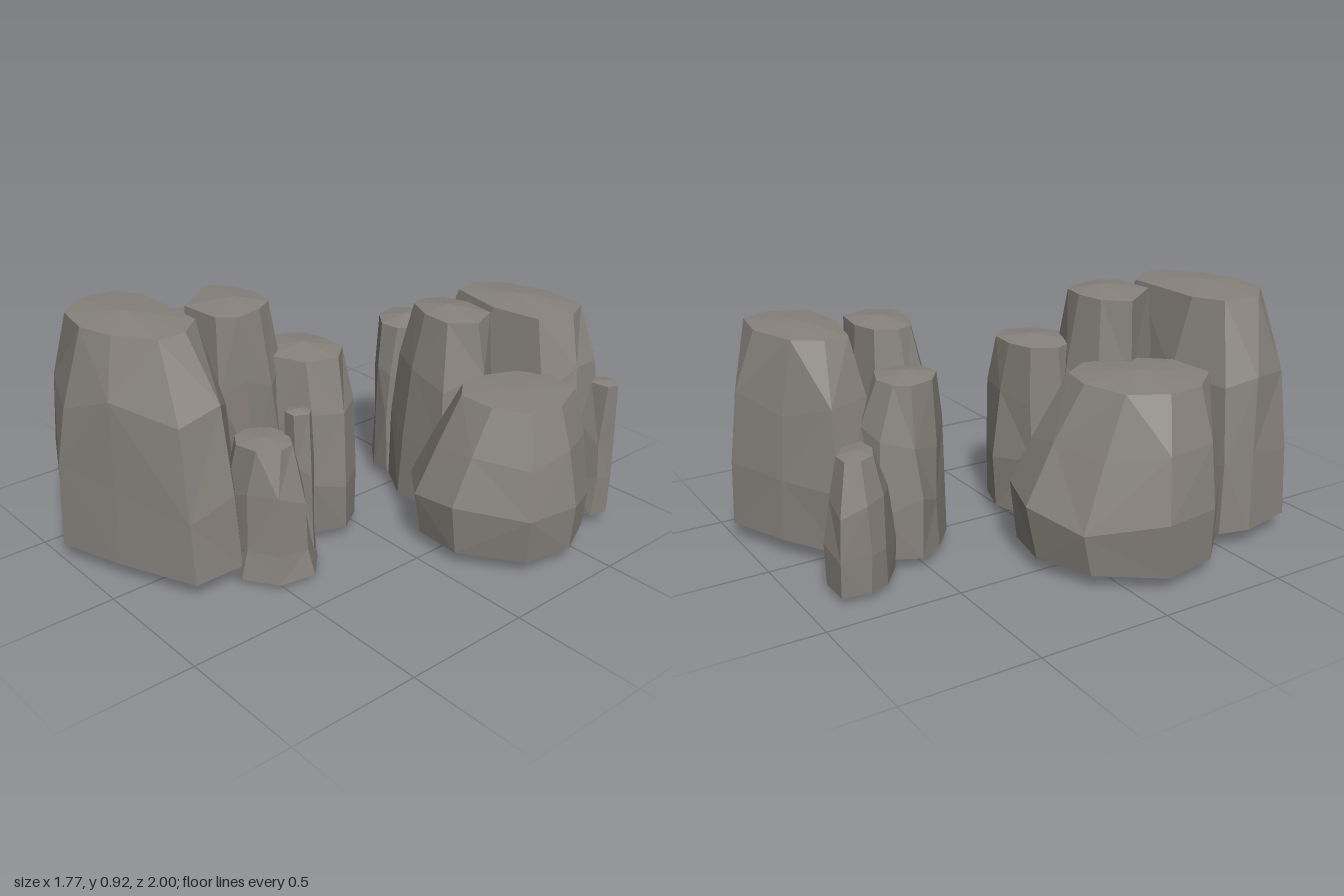
import * as THREE from 'three';

const stone = new THREE.MeshStandardMaterial({ color: 0x86817b, flatShading: true });
stone.name = 'warm grey stone';

// Side profiles: [height fraction, blend from the widest outline (0) to the top outline (1)]
const TAPER = [[0, 0], [0.33, 0.08], [0.68, 0.42], [1, 1]];
const SHOULDER = [[0, 0], [0.33, 0.1], [0.68, 0.34], [1, 1]];
const BULGE = [[0, 0.14], [0.3, 0], [0.66, 0.42], [1, 1]];
const FLARE = [[0, 0], [0.25, 0.32], [0.62, 0.45], [1, 1]];

let seed = 7;
const jitter = (a) => {
  seed = (seed * 16807) % 2147483647;
  return (seed / 2147483647 - 0.5) * 2 * a;
};

// Lofts a boulder between two flat outlines [x, z, x, z, ...], with shallow cones as caps
function boulder(name, y0, y1, profile, wide, top, drop = 0.025, peak = 0.022) {
  const n = wide.length / 2, pos = [], index = [];
  profile.forEach(([t, w], r) => {
    const inner = r > 0 && r < profile.length - 1;
    const rough = inner ? 0.01 : 0;
    for (let i = 0; i < n; i++) {
      const x = THREE.MathUtils.lerp(wide[2 * i], top[2 * i], w);
      const z = THREE.MathUtils.lerp(wide[2 * i + 1], top[2 * i + 1], w);
      const y = y0 + (y1 - y0) * t + jitter(inner ? 0.07 * (y1 - y0) : 0);
      pos.push(x + jitter(rough), y, z + jitter(rough));
    }
  });
  // Cap centres
  const centre = (ring, y) => {
    let x = 0, z = 0;
    for (let i = 0; i < n; i++) {
      x += pos[3 * (ring * n + i)] / n;
      z += pos[3 * (ring * n + i) + 2] / n;
    }
    pos.push(x, y, z);
    return pos.length / 3 - 1;
  };
  const last = profile.length - 1;
  const low = centre(0, y0 - drop), high = centre(last, y1 + peak);
  for (let i = 0; i < n; i++) {
    const j = (i + 1) % n;
    for (let r = 0; r < last; r++) {
      const a = r * n + i, b = r * n + j, c = a + n, d = b + n;
      // Alternate the diagonals for a chiselled look
      if ((i + r) % 2) index.push(a, c, b, b, c, d);
      else index.push(a, c, d, a, d, b);
    }
    index.push(low, i, j, high, last * n + j, last * n + i);
  }
  const geo = new THREE.BufferGeometry();
  geo.setAttribute('position', new THREE.Float32BufferAttribute(pos, 3));
  geo.setIndex(index);
  const flat = geo.toNonIndexed();
  flat.computeVertexNormals();
  const mesh = new THREE.Mesh(flat, stone);
  mesh.name = name;
  return mesh;
}

export function createModel() {
  const model = new THREE.Group();
  model.name = 'rockFormation';

  // Front cluster
  const front = new THREE.Group();
  front.name = 'frontCluster';
  front.add(
    boulder('frontLargeBoulder', 0.06, 0.9, SHOULDER,
      [-.74, .6, -.71, .48, -.4, .43, .05, .47, .2, .58, .2, .78, -.1, .91, -.35, .995, -.69, .82],
      [-.575, .73, -.56, .58, -.45, .52, -.12, .52, -.03, .62, -.03, .73, -.17, .83, -.31, .87, -.47, .84]),
    boulder('frontRoundBoulder', 0.05, 0.675, BULGE,
      [-.89, .1, -.72, -.13, -.5, -.22, -.3, -.18, -.1, .02, -.15, .3, -.45, .48, -.7, .48, -.85, .33],
      [-.77, .17, -.69, .04, -.52, -.01, -.38, .02, -.31, .13, -.33, .3, -.45, .44, -.64, .45, -.75, .32]),
    boulder('frontTallPillar', 0.05, 0.9, TAPER,
      [-.43, .27, -.36, .16, -.2, .1, -.02, .18, .07, .28, .1, .45, -.05, .48, -.3, .48],
      [-.39, .29, -.31, .21, -.2, .19, -.1, .21, -.05, .29, -.03, .4, -.08, .46, -.25, .475]),
    boulder('frontMiddlePillar', 0.04, 0.71, BULGE,
      [-.22, .1, -.18, 0, 0, -.06, .16, 0, .22, .1, .17, .24, .02, .3, -.17, .25],
      [-.2, .1, -.15, .01, -.05, -.02, .06, -.01, .13, .07, .09, .19, -.04, .25, -.15, .21], 0.015),
    boulder('frontSmallRock', 0.02, 0.515, FLARE,
      [.0, .45, .1, .3, .27, .29, .365, .38, .34, .52, .22, .6, .08, .58, .01, .52],
      [.06, .45, .11, .37, .2, .36, .27, .4, .28, .46, .23, .53, .14, .55, .08, .51], 0.02, 0.01),
    boulder('frontThinSpire', 0.03, 0.605, FLARE,
      [.12, .34, .15, .28, .25, .28, .29, .32, .25, .38, .16, .38],
      [.17, .33, .19, .29, .24, .29, .265, .32, .24, .37, .19, .37], 0.01, 0.01),
  );

  // Rear cluster
  const rear = new THREE.Group();
  rear.name = 'rearCluster';
  rear.add(
    boulder('rearLargeBoulder', 0.06, 0.8, TAPER,
      [-.13, -.77, .1, -.9, .34, -1, .64, -.86, .67, -.68, .6, -.55, .2, -.5, -.05, -.55],
      [.05, -.72, .12, -.82, .32, -.88, .5, -.85, .55, -.74, .5, -.6, .3, -.57, .07, -.62]),
    boulder('rearRoundBoulder', 0.05, 0.595, BULGE,
      [.25, -.3, .35, -.55, .6, -.65, .8, -.6, .885, -.42, .85, -.21, .62, -.05, .42, -.06, .26, -.2],
      [.39, -.38, .46, -.54, .57, -.61, .71, -.58, .78, -.42, .76, -.29, .63, -.22, .48, -.22, .41, -.3], 0.015, 0.01),
    boulder('rearTallPillar', 0.05, 0.8, TAPER,
      [-.02, -.4, .04, -.53, .2, -.57, .36, -.53, .44, -.4, .36, -.23, .15, -.23, 0, -.32],
      [.05, -.43, .09, -.51, .19, -.54, .33, -.52, .38, -.4, .31, -.31, .18, -.32, .07, -.37]),
    boulder('rearMiddlePillar', 0.04, 0.67, TAPER,
      [-.27, -.52, -.2, -.66, -.05, -.7, .06, -.6, .07, -.45, -.02, -.33, -.1, -.33, -.21, -.42],
      [-.21, -.52, -.17, -.57, -.08, -.59, .02, -.55, .04, -.45, -.02, -.37, -.1, -.36, -.18, -.42], 0.015),
    boulder('rearThinSpire', 0.05, 0.585, FLARE,
      [.63, -.72, .67, -.76, .74, -.79, .79, -.74, .77, -.67, .67, -.65],
      [.68, -.73, .7, -.77, .74, -.78, .785, -.74, .77, -.7, .7, -.69], 0.01, 0.008),
    boulder('rearSmallRock', 0.025, 0.49, BULGE,
      [-.39, -.78, -.37, -.89, -.24, -.89, -.13, -.78, -.11, -.65, -.25, -.61, -.36, -.7],
      [-.34, -.78, -.32, -.83, -.25, -.83, -.18, -.77, -.17, -.7, -.24, -.69, -.31, -.72], 0.012, 0.01),
  );

  model.add(front, rear);
  return model;
}
